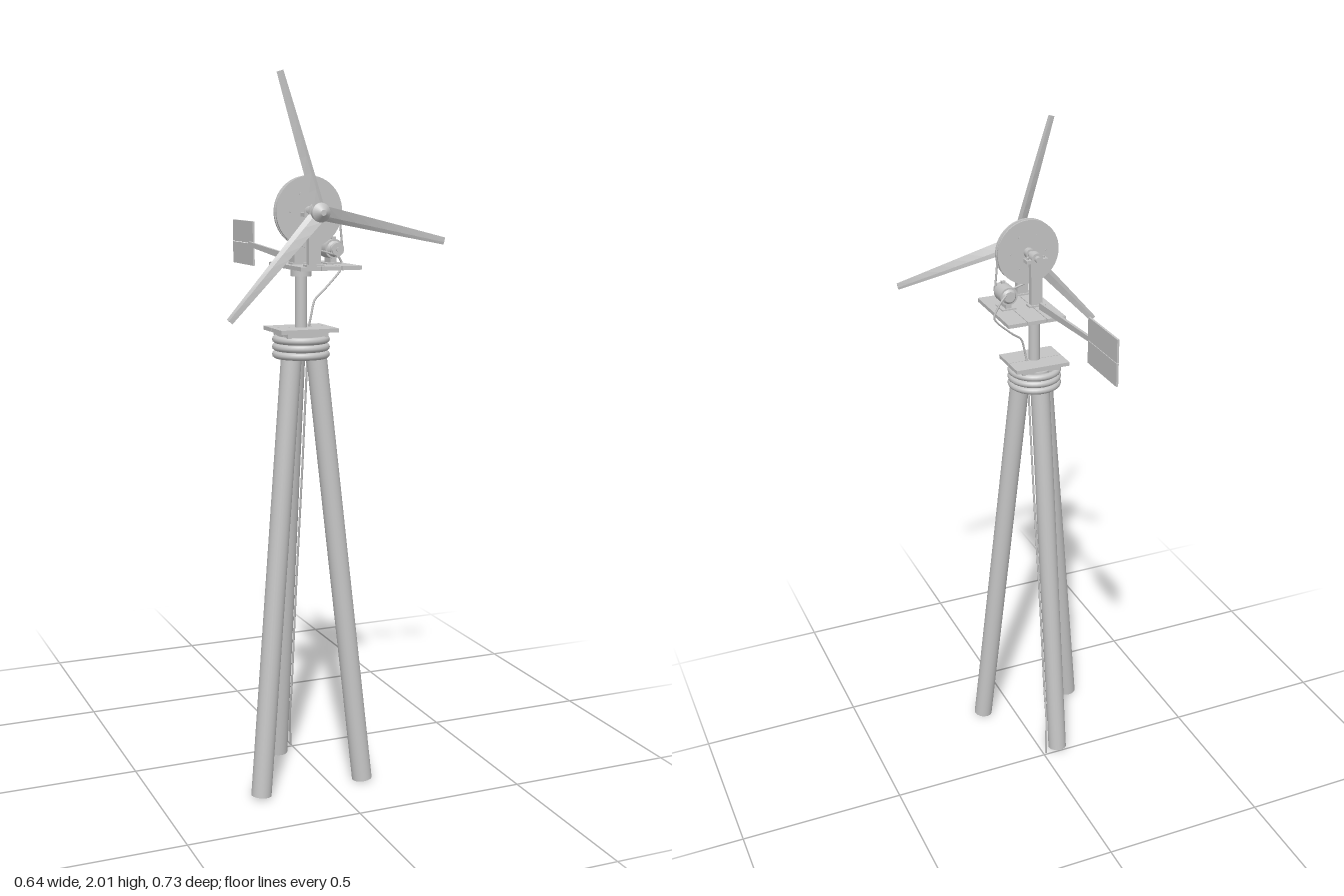
import * as THREE from 'three';

const V = (x, y, z) => new THREE.Vector3(x, y, z);

export function createModel() {
  const model = new THREE.Group();
  model.name = 'windTurbine';
  const grey = new THREE.MeshStandardMaterial({ color: 0xc4c4c4 });
  grey.name = 'plain grey';
  const CX = -0.057, CZ = 0.205, HUB_Y = 1.64;

  const add = (name, geo, x = 0, y = 0, z = 0, parent = model) => {
    const m = new THREE.Mesh(geo, grey);
    m.name = name;
    m.position.set(x, y, z);
    parent.add(m);
    return m;
  };
  // box given by its limits on each axis
  const box = (name, x0, x1, y0, y1, z0, z1) =>
    add(name, new THREE.BoxGeometry(x1 - x0, y1 - y0, z1 - z0), (x0 + x1) / 2, (y0 + y1) / 2, (z0 + z1) / 2);
  // cylinder between two points
  const rod = (name, a, b, r0, r1 = r0, sides = 24) => {
    const d = b.clone().sub(a);
    const m = add(name, new THREE.CylinderGeometry(r1, r0, d.length(), sides));
    m.position.copy(a).add(b).multiplyScalar(0.5);
    m.quaternion.setFromUnitVectors(V(0, 1, 0), d.normalize());
    return m;
  };
  const tube = (name, pts, r, closed = false, n = 80) =>
    add(name, new THREE.TubeGeometry(new THREE.CatmullRomCurve3(pts, closed, 'catmullrom', 0.3), n, r, 6, closed));

  // tripod legs, leaning in to the top
  for (const deg of [30, 150, 270]) {
    const c = Math.cos(deg * Math.PI / 180), s = Math.sin(deg * Math.PI / 180);
    rod('leg', V(CX + 0.181 * c, 0.003, CZ + 0.181 * s), V(CX + 0.037 * c, 1.3, CZ + 0.037 * s), 0.029);
  }

  // rope rings lashing the legs together
  for (const y of [1.247, 1.268, 1.289]) {
    add('lashingRing', new THREE.TorusGeometry(0.07, 0.0105, 10, 40).rotateX(Math.PI / 2), CX, y, CZ);
  }

  // lower platform of two planks on a base block
  box('platformBase', -0.117, 0.003, 1.297, 1.311, 0.15, 0.26);
  box('lowerPlank', -0.142, 0.027, 1.311, 1.322, 0.137, 0.199);
  box('lowerPlank', -0.142, 0.027, 1.311, 1.322, 0.201, 0.275);

  // mast and swivel collar
  rod('mast', V(CX, 1.32, CZ), V(CX, 1.486, CZ), 0.017);
  rod('mastCollar', V(CX, 1.463, CZ), V(CX, 1.486, CZ), 0.029);

  // upper platform planks
  for (const x of [-0.102, -0.042, 0.018]) box('upperPlank', x, x + 0.058, 1.484, 1.495, 0.078, 0.316);

  // bearing posts with clamp plates, housings and bolts
  for (const z of [0.191, 0.295]) {
    box('bearingPost', CX - 0.018, CX + 0.018, 1.494, 1.632, z - 0.009, z + 0.009);
    box('postFoot', CX - 0.026, CX + 0.026, 1.494, 1.5, z - 0.014, z + 0.014);
    box('bearingPlate', CX - 0.033, CX + 0.033, 1.628, 1.638, z - 0.013, z + 0.013);
    rod('bearingHousing', V(CX, HUB_Y, z - 0.013), V(CX, HUB_Y, z + 0.013), 0.017);
    for (const s of [-1, 1]) rod('bearingBolt', V(CX + s * 0.025, 1.636, z), V(CX + s * 0.025, 1.644, z), 0.004, 0.004, 6);
  }

  // main shaft, large grooved pulley and its bosses
  rod('mainShaft', V(CX, HUB_Y, 0.165), V(CX, HUB_Y, 0.345), 0.0095);
  rod('pulleyBoss', V(CX, HUB_Y, 0.225), V(CX, HUB_Y, 0.275), 0.015);
  const grooved = (r, w, g) => {
    const p = [[0, -w], [r, -w], [r, -w * 0.4], [r - g, -w * 0.3], [r - g, w * 0.3], [r, w * 0.4], [r, w], [0, w]];
    // doubled profile corners keep the edges sharp
    const pts = p.flatMap(([a, b]) => [new THREE.Vector2(a, b), new THREE.Vector2(a, b)]).slice(1, -1);
    const flat = new THREE.LatheGeometry(pts, 48).rotateX(Math.PI / 2).toNonIndexed();
    flat.computeVertexNormals();
    return flat;
  };
  add('largePulley', grooved(0.096, 0.0105, 0.006), CX, HUB_Y, 0.2545);
  for (let i = 0; i < 6; i++) {
    const a = i * Math.PI / 3, x = CX + 0.055 * Math.cos(a), y = HUB_Y + 0.055 * Math.sin(a);
    rod('pulleyBolt', V(x, y, 0.242), V(x, y, 0.267), 0.003, 0.003, 6);
  }

  // generator with small pulley, feet and terminal
  const GX = 0.029, GY = 1.537;
  rod('generatorBody', V(GX, GY, 0.185), V(GX, GY, 0.236), 0.027);
  rod('generatorRearCap', V(GX, GY, 0.178), V(GX, GY, 0.185), 0.016, 0.022);
  rod('generatorFrontCap', V(GX, GY, 0.236), V(GX, GY, 0.243), 0.022, 0.016);
  rod('generatorShaft', V(GX, GY, 0.24), V(GX, GY, 0.266), 0.006);
  add('smallPulley', grooved(0.018, 0.008, 0.003), GX, GY, 0.2545);
  box('generatorFoot', GX - 0.009, GX + 0.009, 1.494, 1.515, 0.19, 0.232);
  box('generatorBase', GX - 0.022, GX + 0.022, 1.494, 1.499, 0.185, 0.237);
  box('generatorTerminal', GX - 0.006, GX + 0.006, 1.56, 1.57, 0.225, 0.235);

  // drive belt around both pulleys
  const dx = GX - CX, dy = GY - HUB_Y, d = Math.hypot(dx, dy), phi = Math.atan2(dy, dx);
  const R = 0.091, r = 0.016, beta = Math.acos((R - r) / d), belt = [];
  const arc = (x, y, rad, a0, a1, n) => {
    for (let i = 0; i <= n; i++) {
      const a = a0 + (a1 - a0) * i / n;
      belt.push(V(x + rad * Math.cos(a), y + rad * Math.sin(a), 0.2545));
    }
  };
  arc(CX, HUB_Y, R, phi + beta, phi + 2 * Math.PI - beta, 24);
  arc(GX, GY, r, phi - beta, phi + beta, 10);
  tube('driveBelt', belt, 0.003, true, 140);

  // rotor hub and nose cone
  rod('hubCollar', V(CX, HUB_Y, 0.321), V(CX, HUB_Y, 0.333), 0.028);
  rod('hub', V(CX, HUB_Y, 0.333), V(CX, HUB_Y, 0.347), 0.026);
  rod('noseCone', V(CX, HUB_Y, 0.347), V(CX, HUB_Y, 0.363), 0.026, 0.008);

  // tapered, twisted blade made from cross-sections along its length
  const bladeGeometry = () => {
    const pos = [], idx = [], n = 8;
    for (let i = 0; i <= n; i++) {
      const t = i / n, len = 0.015 + 0.365 * t, w = 0.021 - 0.011 * t, th = 0.003 - 0.002 * t;
      const pitch = 0.36 * (1 - t) + 0.06, c = Math.cos(pitch), s = Math.sin(pitch);
      for (const [u, v] of [[-w, 0], [-w * 0.3, -th], [w, 0], [-w * 0.3, th]]) {
        pos.push(len, u * c - v * s, u * s + v * c);
      }
    }
    for (let i = 0; i < n; i++) for (let j = 0; j < 4; j++) {
      const a = i * 4 + j, b = i * 4 + (j + 1) % 4;
      idx.push(a, b, b + 4, a, b + 4, a + 4);
    }
    const e = n * 4;
    idx.push(0, 2, 1, 0, 3, 2, e, e + 1, e + 2, e, e + 2, e + 3);
    const g = new THREE.BufferGeometry();
    g.setAttribute('position', new THREE.Float32BufferAttribute(pos, 3));
    g.setIndex(idx);
    const flat = g.toNonIndexed();
    flat.computeVertexNormals();
    return flat;
  };
  for (const deg of [107.5, 227.5, 347.5]) {
    add('blade', bladeGeometry(), CX, HUB_Y, 0.339).rotation.z = deg * Math.PI / 180;
  }

  // tail boom, tapering to the rear, with a two-board vane
  const boom = new THREE.Shape([[-0.157, 1.495], [0.207, 1.523], [0.207, 1.537], [-0.157, 1.515]]
    .map(([a, b]) => new THREE.Vector2(a, b)));
  const boomGeo = new THREE.ExtrudeGeometry(boom, { depth: 0.008, bevelEnabled: false }).rotateY(Math.PI / 2);
  add('tailBoom', boomGeo, -0.061, 0, 0);
  box('vaneBoard', -0.052, -0.046, 1.465, 1.53, -0.363, -0.188);
  box('vaneBoard', -0.052, -0.046, 1.532, 1.597, -0.363, -0.188);

  // cable from the generator, down the mast and the rear leg to the ground
  tube('cable', [
    V(0.04, 1.545, 0.179), V(0.06, 1.53, 0.171), V(0.083, 1.488, 0.17), V(0.07, 1.465, 0.172),
    V(0.02, 1.42, 0.185), V(-0.012, 1.395, 0.195), V(-0.025, 1.35, 0.2), V(-0.03, 1.31, 0.195),
    V(-0.026, 1.2, 0.173), V(-0.026, 0.9, 0.14), V(-0.026, 0.5, 0.09), V(-0.026, 0.22, 0.06),
    V(-0.022, 0.12, 0.035), V(-0.006, 0.005, 0.001),
  ], 0.003, false, 120);

  return model;
}
